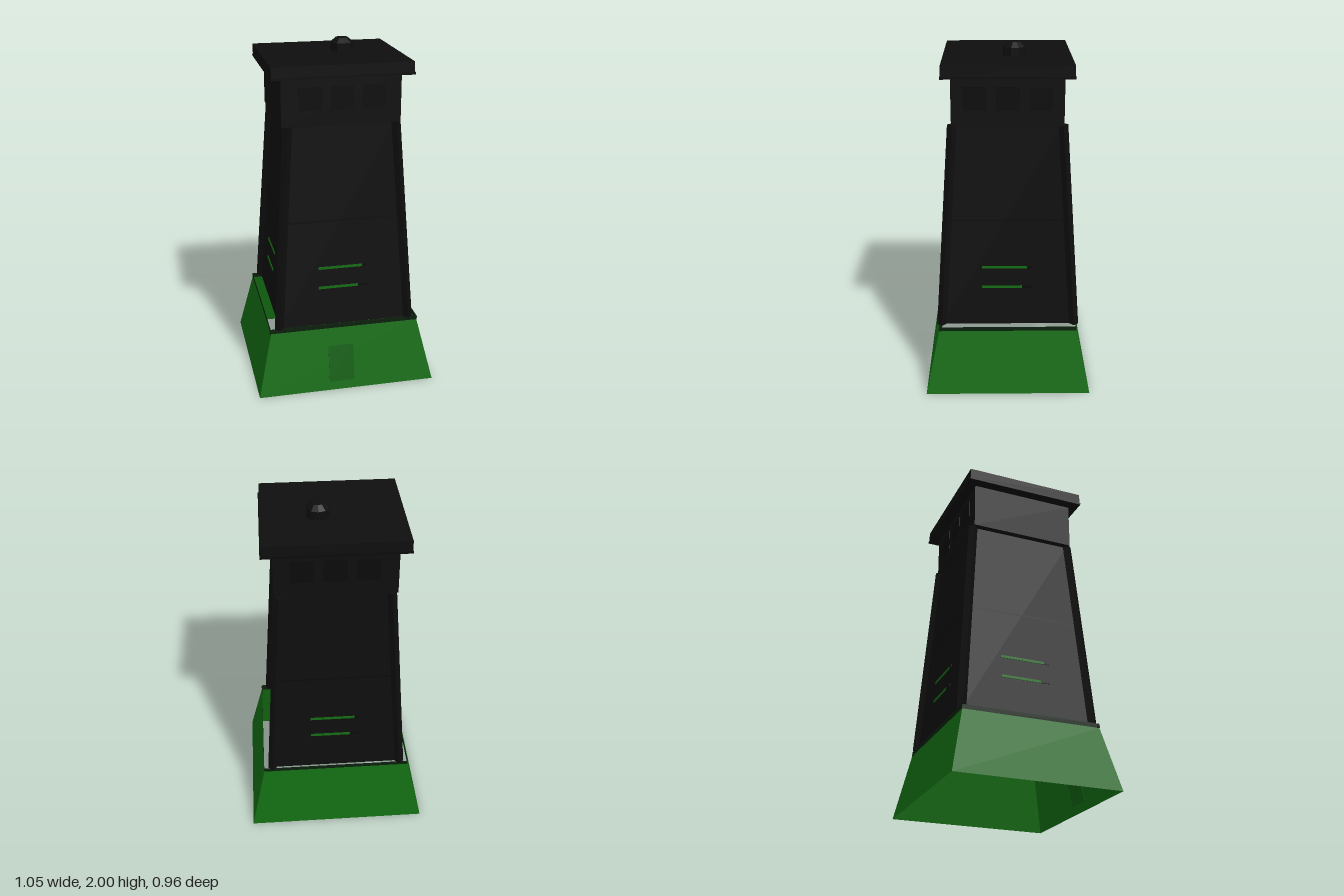
import * as THREE from 'three';

const mat = (name, color, side = THREE.FrontSide) => {
  const m = new THREE.MeshStandardMaterial({ color, side, flatShading: true });
  m.name = name;
  return m;
};

export function createModel() {
  const tower = new THREE.Group();
  tower.name = 'watchtower';
  const green = mat('green', 0x126a12, THREE.DoubleSide);
  const doorGreen = mat('door green', 0x0f5c10);
  const rimGreen = mat('dark rim green', 0x0b200d, THREE.DoubleSide);
  const black = mat('black', 0x0e0e0e, THREE.DoubleSide);
  const deepBlack = mat('deep black', 0x0a0a0a, THREE.DoubleSide);

  const add = (name, geo, material, parent = tower) => {
    const mesh = new THREE.Mesh(geo, material);
    mesh.name = name;
    parent.add(mesh);
    return mesh;
  };
  const box = (name, w, h, d, x, y, z, material, parent) => {
    const mesh = add(name, new THREE.BoxGeometry(w, h, d), material, parent);
    mesh.position.set(x, y, z);
    return mesh;
  };
  // Open four-sided shell; bottom and top are half widths in z
  const shell = (name, bottom, top, y0, y1, material, stretchX = 1) => {
    const g = new THREE.CylinderGeometry(top * Math.SQRT2, bottom * Math.SQRT2, y1 - y0, 4, 1, true);
    g.rotateY(Math.PI / 4).scale(stretchX, 1, 1).translate(0, (y0 + y1) / 2, 0);
    return add(name, g, material);
  };

  // Sloping foundation and its rim
  shell('foundation', 0.48, 0.402, 0, 0.37, green, 1.095);
  shell('foundationRim', 0.402, 0.402, 0.365, 0.395, rimGreen, 1.095);
  box('frontRim', 0.89, 0.022, 0.014, -0.002, 0.38, 0.394, rimGreen);

  // Door lying on the sloping front
  const doorY = 0.157;
  const baseSlope = 0.078 / 0.37;
  const door = box('door', 0.15, 0.218, 0.005, -0.03, doorY, 0.48 - baseSlope * doorY + 0.001, doorGreen);
  door.rotation.x = -Math.atan(baseSlope);

  // Tapered shaft, open below, with a seam around the middle
  const y0 = 0.39, y1 = 1.58, low = 0.385, high = 0.305;
  const slope = (low - high) / (y1 - y0);
  const half = y => low - slope * (y - y0);
  shell('shaft', low, high, y0, y1, black);
  shell('seam', half(1.02) + 0.003, half(1.032) + 0.003, 1.02, 1.032, deepBlack);

  // Leaning corner posts
  for (const sx of [-1, 1]) for (const sz of [-1, 1]) {
    const g = new THREE.CylinderGeometry(0.027, 0.027, y1 - y0, 4);
    g.translate(0, (y0 + y1) / 2, 0);
    const p = g.attributes.position;
    for (let i = 0; i < p.count; i++) {
      const c = 0.388 - 0.08 * (p.getY(i) - y0) / (y1 - y0);
      p.setX(i, p.getX(i) + sx * c);
      p.setZ(i, p.getZ(i) + sz * c);
    }
    g.computeVertexNormals();
    add('cornerPost', g, black);
  }

  // Cabin, roof and lip
  box('cabin', 0.676, 0.28, 0.624, -0.004, 1.715, 0, black);
  box('roofLip', 0.8, 0.012, 0.732, -0.002, 1.856, 0, deepBlack);
  box('roof', 0.79, 0.06, 0.724, -0.004, 1.892, 0, black);

  // Slits and cabin windows on all four sides
  for (let k = 0; k < 4; k++) {
    const side = new THREE.Group();
    side.name = 'sideDetails';
    side.rotation.y = k * Math.PI / 2;
    tower.add(side);
    for (const [y, end] of [[0.742, 0.11], [0.622, 0.083]]) {
      const z = half(y) + 0.001;
      const lit = box('litSlit', end + 0.15, 0.015, 0.005, (end - 0.15) / 2, y, z, green, side);
      const dark = box('darkSlit', 0.14 - end, 0.015, 0.005, (end + 0.14) / 2, y, z, deepBlack, side);
      lit.rotation.x = dark.rotation.x = -Math.atan(slope);
    }
    const wall = k % 2 ? 0.337 : 0.312;
    for (const x of [-0.18, 0, 0.18])
      box('window', 0.13, 0.13, 0.004, x, 1.73, wall, deepBlack, side);
  }

  // Off-centre roof knob
  const knob = add('roofKnob', new THREE.LatheGeometry([
    [0.066, 1.92], [0.066, 1.972], [0.035, 1.998], [0, 2.0],
  ].map(([r, y]) => new THREE.Vector2(r, y)), 10), black);
  knob.position.set(0.076, 0, -0.042);

  return tower;
}
